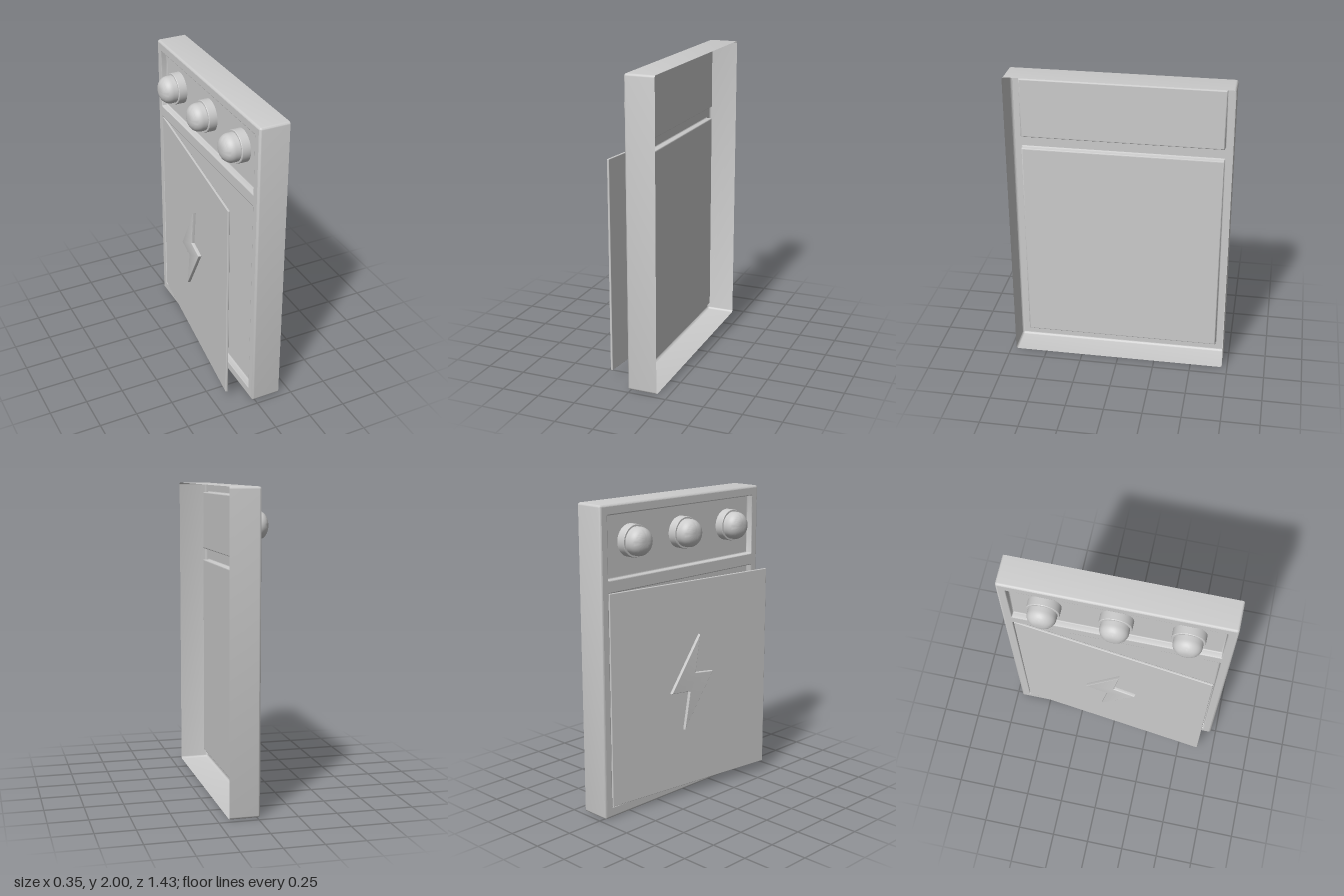
import * as THREE from 'three';
import { RoundedBoxGeometry } from 'three/addons/geometries/RoundedBoxGeometry.js';
import { toCreasedNormals } from 'three/addons/utils/BufferGeometryUtils.js';

const grey = new THREE.MeshStandardMaterial({ color: 0xcccccc });
const greyThin = new THREE.MeshStandardMaterial({ color: 0xcccccc, side: THREE.DoubleSide });

function add(parent, name, geometry, material = grey) {
  const mesh = new THREE.Mesh(geometry, material);
  mesh.name = name;
  parent.add(mesh);
  return mesh;
}

// Counter-clockwise rounded rectangle, grown outward by g (negative shrinks it)
function roundedRect([x0, y0, x1, y1], g, radius, steps = 4) {
  const r = Math.max(radius + g, 0.001);
  const corners = [[x1 + g - r, y0 - g + r, -1], [x1 + g - r, y1 + g - r, 0],
    [x0 - g + r, y1 + g - r, 1], [x0 - g + r, y0 - g + r, 2]];
  const points = [];
  for (const [cx, cy, quarter] of corners) {
    for (let i = 0; i <= steps; i++) {
      const a = (quarter + i / steps) * Math.PI / 2;
      points.push(new THREE.Vector2(cx + r * Math.cos(a), cy + r * Math.sin(a)));
    }
  }
  return points;
}

// Band of quads through a stack of outlines; each level is [grow, z]
function loftRect(rect, radius, levels) {
  const positions = [], index = [];
  let n = 0;
  levels.forEach(([g, z], k) => {
    const ring = roundedRect(rect, g, radius);
    n = ring.length;
    for (const p of ring) positions.push(p.x, p.y, z);
    if (k === 0) return;
    for (let i = 0; i < n; i++) {
      const a = (k - 1) * n + i, b = (k - 1) * n + (i + 1) % n;
      index.push(a, b, b + n, a, b + n, a + n);
    }
  });
  const geometry = new THREE.BufferGeometry();
  geometry.setAttribute('position', new THREE.Float32BufferAttribute(positions, 3));
  geometry.setIndex(index);
  return toCreasedNormals(geometry, 0.6);
}

// Quarter-round levels from [g0, z0] to [g1, z1]; the curve leaves along z
function quarterRound(g0, z0, g1, z1, steps = 4) {
  return Array.from({ length: steps + 1 }, (_, i) => {
    const a = (i / steps) * Math.PI / 2;
    return [g0 + (g1 - g0) * (1 - Math.cos(a)), z0 + (z1 - z0) * Math.sin(a)];
  });
}

export function createModel() {
  const model = new THREE.Group();
  model.name = 'electricalPanel';

  // Everything is laid out facing +z, then turned to face -x
  const cabinet = new THREE.Group();
  cabinet.name = 'cabinet';
  cabinet.rotation.y = -Math.PI / 2;
  model.add(cabinet);

  const face = 0.02, floor = -0.02, back = -0.175;
  const outline = [-0.715, 0, 0.715, 2];
  const recesses = {
    knobRecess: [-0.655, 1.54, 0.655, 1.935],
    doorRecess: [-0.655, 0.07, 0.655, 1.46],
  };
  const lip = 0.006;

  // Open-backed housing with a rounded front edge
  add(cabinet, 'housingSides', loftRect(outline, 0.015,
    [[0, back], ...quarterRound(0, face - 0.015, -0.014, face)]), greyThin);

  // Front frame with two openings
  const frame = new THREE.Shape(roundedRect(outline, -0.014, 0.015));
  for (const rect of Object.values(recesses)) {
    frame.holes.push(new THREE.Path(roundedRect(rect, lip, 0.004)));
  }
  add(cabinet, 'frontFrame', new THREE.ShapeGeometry(frame).translate(0, 0, face), greyThin);

  // Sunken trays behind the openings
  for (const [name, rect] of Object.entries(recesses)) {
    const levels = [
      ...quarterRound(0, face - lip, lip, face).reverse(),
      ...quarterRound(0, floor + 0.008, -0.008, floor),
    ];
    add(cabinet, name + 'Walls', loftRect(rect, 0.004, levels), greyThin);
    const panel = new THREE.Shape(roundedRect(rect, -0.008, 0.004));
    add(cabinet, name + 'Floor', new THREE.ShapeGeometry(panel).translate(0, 0, floor), greyThin);
  }

  // Three domed lamps, each on a flat collar
  const dome = [[0.09, 0], [0.09, 0.085]];
  for (let i = 1; i <= 10; i++) {
    const a = (i / 10) * Math.PI / 2;
    dome.push([0.018 + 0.072 * Math.cos(a), 0.085 + 0.065 * Math.sin(a)]);
  }
  dome.push([0, 0.151]);
  const domeGeometry = toCreasedNormals(
    new THREE.LatheGeometry(dome.map(([r, h]) => new THREE.Vector2(r, h)), 48), 0.6);
  const collar = [[0.103, 0], [0.103, 0.053], [0.1, 0.057], [0.085, 0.057]];
  const collarGeometry = toCreasedNormals(
    new THREE.LatheGeometry(collar.map(([r, h]) => new THREE.Vector2(r, h)), 48), 0.6);
  for (const x of [-0.44, 0, 0.44]) {
    const lamp = new THREE.Group();
    lamp.name = 'lamp';
    lamp.position.set(x, 1.76, floor);
    lamp.rotation.x = Math.PI / 2;
    add(lamp, 'lampCollar', collarGeometry);
    add(lamp, 'lampDome', domeGeometry);
    cabinet.add(lamp);
  }

  // Door standing ajar, hinged on one side
  const door = new THREE.Group();
  door.name = 'door';
  door.position.set(-0.65, 0, face);
  door.rotation.y = -0.12;
  cabinet.add(door);
  add(door, 'doorLeaf', new RoundedBoxGeometry(1.295, 1.388, 0.015, 2, 0.004)
    .translate(0.6475, 0.765, -0.0075));

  // Raised bolt-shaped warning sign on the door
  const bolt = new THREE.Shape([[0.047, 1.095], [-0.182, 0.737], [-0.032, 0.727],
    [-0.076, 0.472], [0.155, 0.83], [0.01, 0.843]]
    .map(([x, y]) => new THREE.Vector2(x + 0.65, y)));
  const boltGeometry = new THREE.ExtrudeGeometry(bolt, {
    depth: 0.022, bevelThickness: 0.006, bevelSize: 0.006, bevelOffset: -0.003, bevelSegments: 3,
  }).translate(0, 0, -0.007);
  add(door, 'raisedBolt', toCreasedNormals(boltGeometry, 0.6));

  return model;
}
